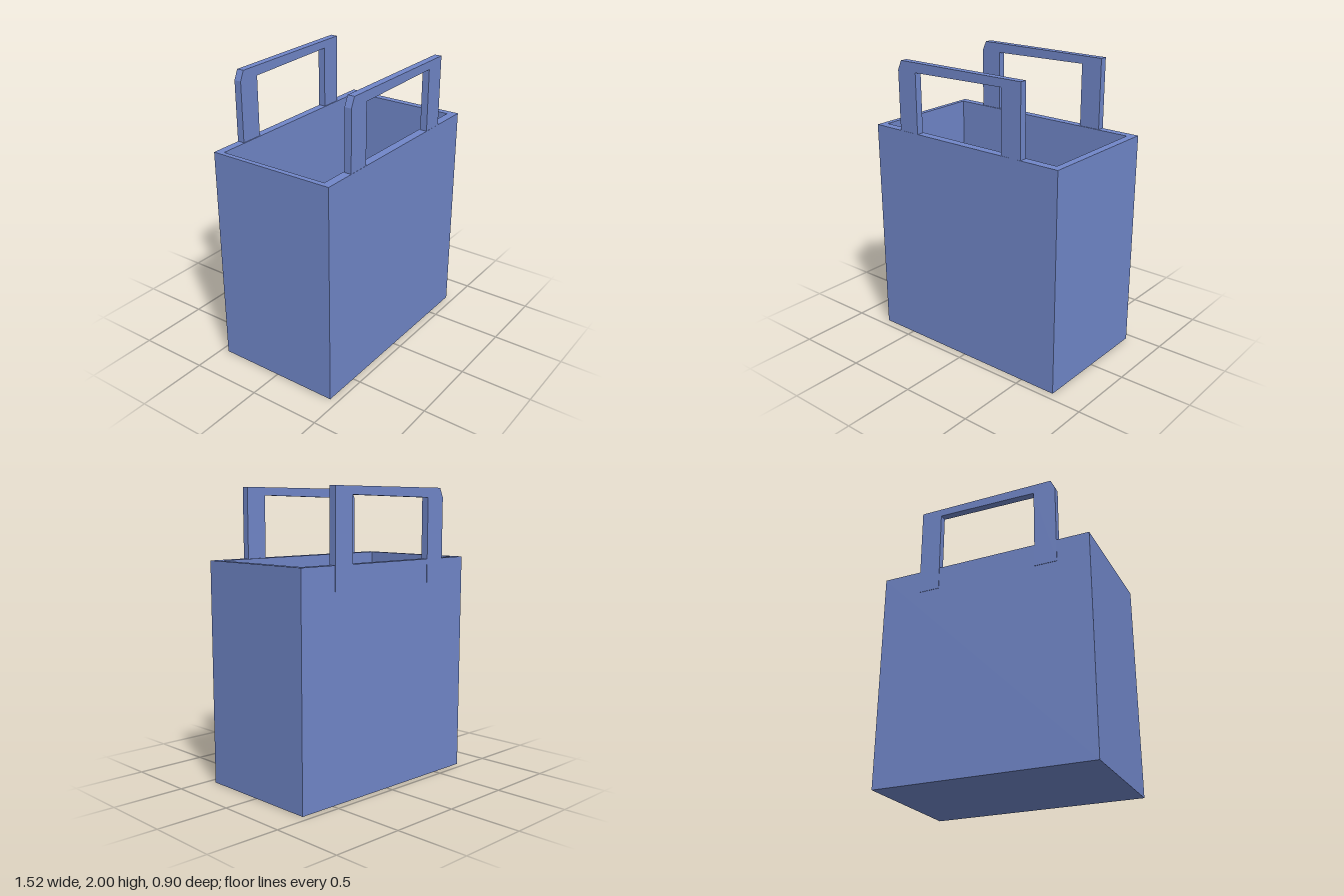
import * as THREE from 'three';

const material = new THREE.MeshStandardMaterial({ color: 0x7086c8, flatShading: true });

const polygon = (Type, points) => new Type(points.map(([x, y]) => new THREE.Vector2(x, y)));

function part(name, geometry) {
  const mesh = new THREE.Mesh(geometry, material);
  mesh.name = name;
  return mesh;
}

// Flat U-shaped handle with one clipped corner; its legs run down to legEnd
function handle(name, legEnd, zBack, zFront) {
  const outline = polygon(THREE.Shape, [
    [-0.535, legEnd], [-0.38, legEnd], [-0.38, 1.93], [0.33, 1.945], [0.33, legEnd],
    [0.48, legEnd], [0.48, 2], [-0.505, 1.995], [-0.535, 1.93],
  ]);
  const geometry = new THREE.ExtrudeGeometry(outline, { depth: zFront - zBack, bevelEnabled: false });
  return part(name, geometry.translate(0, 0, zBack));
}

export function createModel() {
  const bag = new THREE.Group();
  bag.name = 'shoppingBag';

  // Four walls as a rectangular tube; shape y becomes -z once laid flat
  const rim = polygon(THREE.Shape, [[-0.76, -0.445], [0.757, -0.445], [0.757, 0.45], [-0.76, 0.45]]);
  rim.holes.push(polygon(THREE.Path, [[-0.722, -0.386], [-0.727, 0.395], [0.703, 0.395], [0.708, -0.386]]));
  const walls = new THREE.ExtrudeGeometry(rim, { depth: 1.52, bevelEnabled: false });
  bag.add(part('walls', walls.rotateX(-Math.PI / 2)));

  // Floor, tucked inside the walls
  const floor = new THREE.BoxGeometry(1.47, 0.04, 0.82);
  bag.add(part('floor', floor.translate(-0.01, 0.02, 0)));

  // Front handle rises from the rim; rear handle laps down over the back wall
  bag.add(handle('frontHandle', 1.5, 0.395, 0.444));
  bag.add(handle('backHandle', 1.36, -0.453, -0.402));

  return bag;
}
